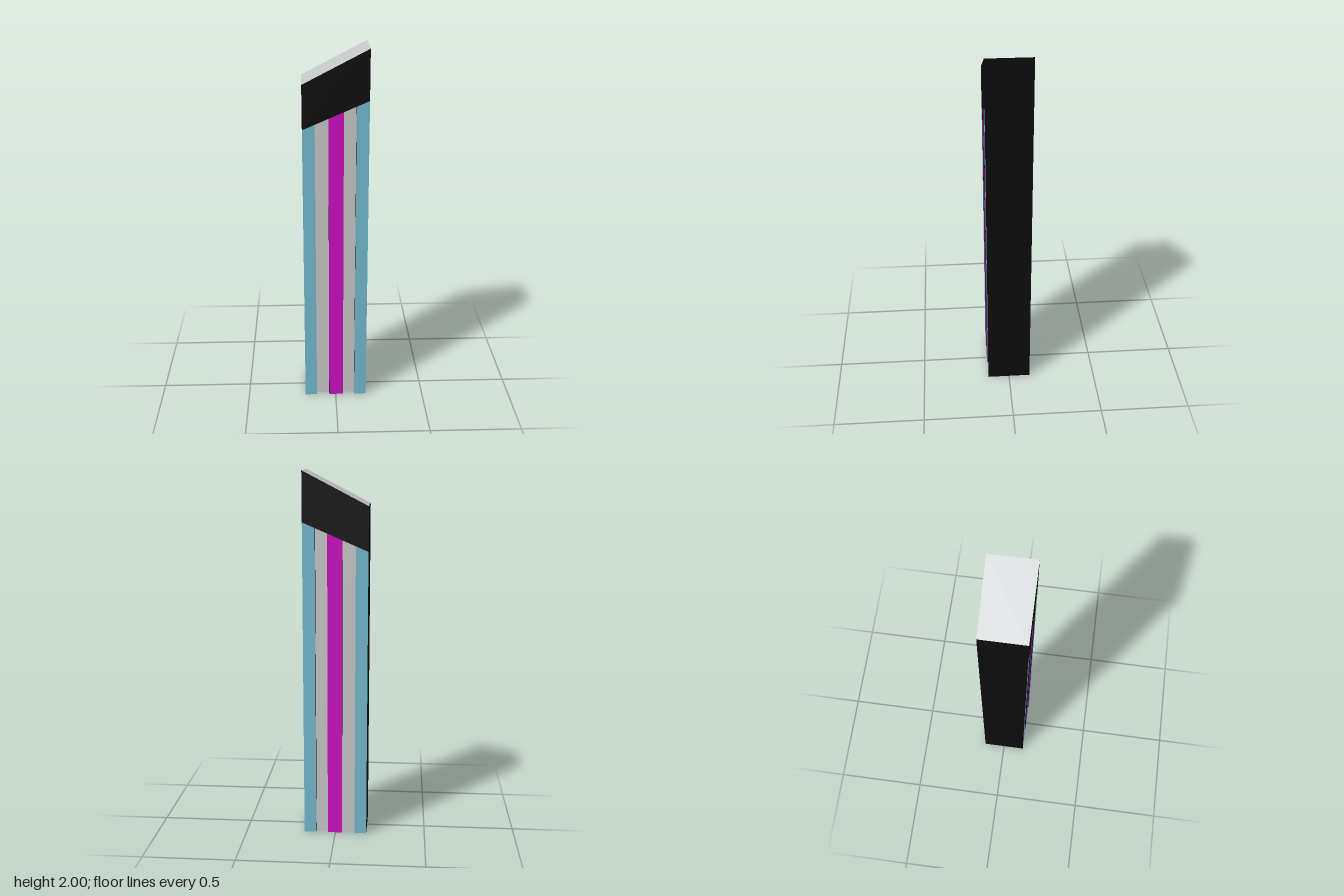
import * as THREE from 'three';

const mat = (name, color) => {
  const m = new THREE.MeshStandardMaterial({ color, side: THREE.DoubleSide });
  m.name = name;
  return m;
};

// Overall sizes
const W = 0.174, D = 0.122, RECESS = 0.02;
const roofY = x => 1.91 + (x / W) * 0.09;   // sloping roof line
const neckY = x => 1.66 + (x / W) * 0.075;  // lower edge of the dark head

// Flat four-cornered panel, corners counter-clockwise seen from outside
function panel(name, material, corners, flip = false) {
  const g = new THREE.BufferGeometry();
  g.setAttribute('position', new THREE.Float32BufferAttribute(corners.flat(), 3));
  g.setIndex(flip ? [0, 2, 1, 0, 3, 2] : [0, 1, 2, 0, 2, 3]);
  g.computeVertexNormals();
  const mesh = new THREE.Mesh(g, material);
  mesh.name = name;
  return mesh;
}

export function createModel() {
  const black = mat('black', 0x0d0d0d);
  const blue = mat('light blue', 0x74bacd);
  const grey = mat('light grey', 0xc8c8c8);
  const magenta = mat('magenta', 0xcb10c0);
  const roofGrey = mat('roof grey', 0xc3c7c8);

  const model = new THREE.Group();
  model.name = 'tower';

  // Vertical strips across each face; the grey ones are set back
  const strips = [
    ['blueStrip', blue, -W, -0.108, false],
    ['greyStrip', grey, -0.108, -0.037, true],
    ['magentaStrip', magenta, -0.037, 0.042, false],
    ['greyStrip', grey, 0.042, 0.107, true],
    ['blueStrip', blue, 0.107, W, false],
  ];

  // Front and back faces
  for (const s of [1, -1]) {
    const face = new THREE.Group();
    face.name = s > 0 ? 'frontFace' : 'backFace';
    const zf = s * D, zr = s * (D - RECESS), back = s < 0;

    for (const [name, material, x0, x1, recessed] of strips) {
      const z = recessed ? zr : zf;
      const t0 = neckY(x0), t1 = neckY(x1);
      face.add(panel(name, material, [[x0, 0, z], [x1, 0, z], [x1, t1, z], [x0, t0, z]], back));
      if (!recessed) continue;
      // Groove walls and the underside of the head above the groove
      for (const [x, facing] of [[x0, 1], [x1, -1]]) {
        const t = neckY(x);
        face.add(panel('grooveWall', black,
          [[x, 0, zf], [x, 0, zr], [x, t, zr], [x, t, zf]], facing * s < 0));
      }
      face.add(panel('grooveTop', black,
        [[x0, t0, zr], [x1, t1, zr], [x1, t1, zf], [x0, t0, zf]], back));
    }

    // Dark head above the strips
    face.add(panel('head', black, [
      [-W, neckY(-W), zf], [W, neckY(W), zf], [W, roofY(W), zf], [-W, roofY(-W), zf]], back));
    model.add(face);
  }

  // Plain side walls
  for (const s of [1, -1]) {
    const x = s * W, t = roofY(x);
    model.add(panel(s > 0 ? 'leftWall' : 'rightWall', black,
      [[x, 0, D], [x, 0, -D], [x, t, -D], [x, t, D]], s < 0));
  }

  // Sloping roof; the bottom stays open
  model.add(panel('roof', roofGrey, [
    [-W, roofY(-W), D], [W, roofY(W), D], [W, roofY(W), -D], [-W, roofY(-W), -D]]));

  return model;
}
